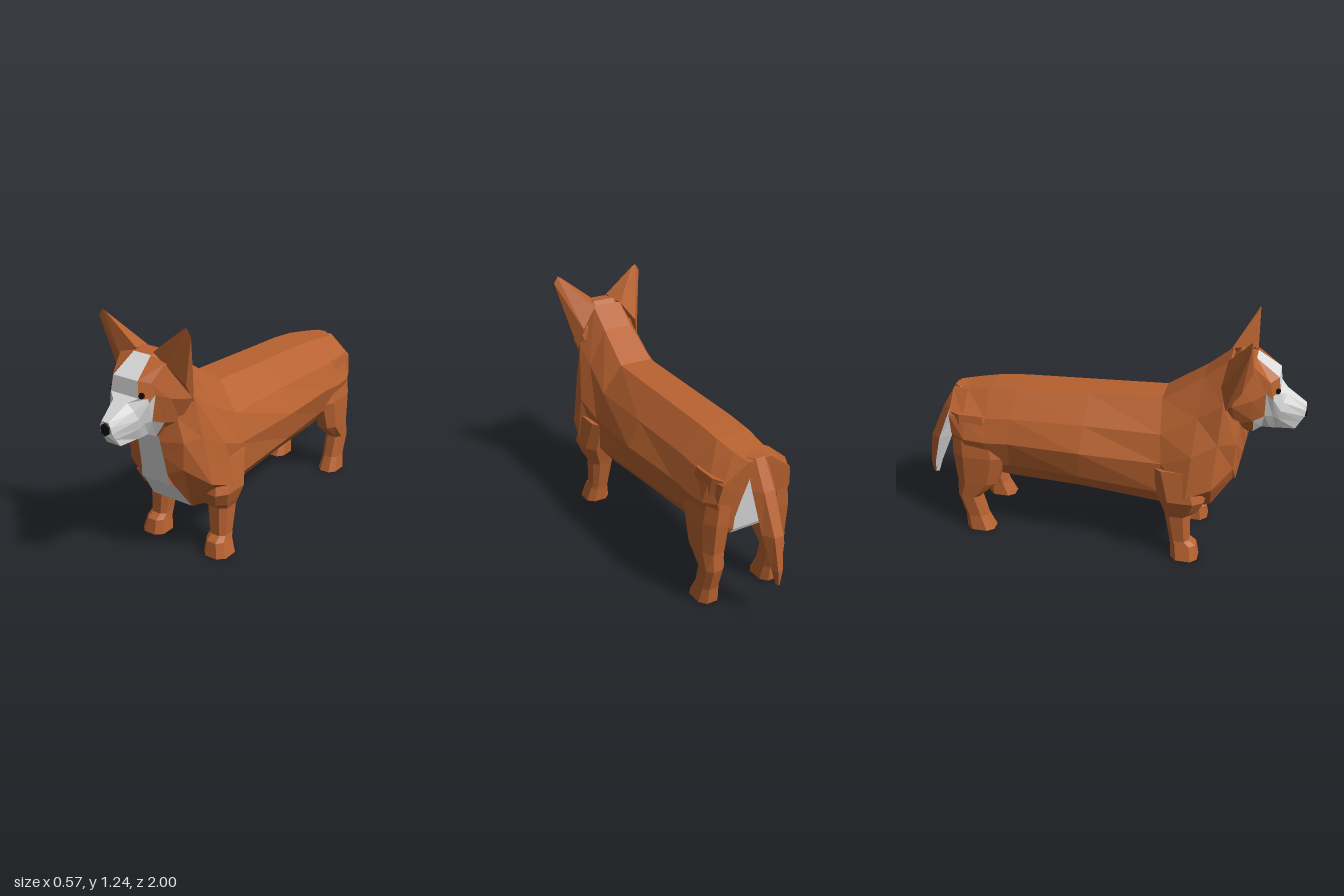
import * as THREE from 'three';
import { ConvexGeometry } from 'three/addons/geometries/ConvexGeometry.js';

const V = (x, y, z) => new THREE.Vector3(x, y, z);

// Skins a row of rings; colourOf(segment, column) picks a material index
// (segment -1 is the first cap, rings.length - 1 the last cap).
function loft(rings, colourOf = () => 0) {
  const buckets = [[], []];
  const n = rings[0].length, last = rings.length - 1;
  const tri = (m, ...pts) => buckets[m].push(...pts);
  for (let i = 0; i < last; i++) {
    for (let j = 0; j < n; j++) {
      const k = (j + 1) % n, m = colourOf(i, j);
      const a = rings[i][j], b = rings[i][k], c = rings[i + 1][k], d = rings[i + 1][j];
      tri(m, a, b, c);
      tri(m, a, c, d);
    }
  }
  for (let j = 1; j < n - 1; j++) {
    tri(colourOf(-1, j), rings[0][0], rings[0][j + 1], rings[0][j]);
    tri(colourOf(last, j), rings[last][0], rings[last][j], rings[last][j + 1]);
  }
  const geo = new THREE.BufferGeometry().setFromPoints(buckets.flat());
  let start = 0;
  buckets.forEach((b, m) => {
    if (b.length) geo.addGroup(start, b.length, m);
    start += b.length;
  });
  geo.computeVertexNormals();
  return geo;
}

// Closes a left-hand outline (top to bottom) into a symmetric ring.
const mirrorRing = half => [
  ...[...half].reverse(),
  ...half.map(p => V(-p.x, p.y, p.z)),
];
// Height of a column in such a ring: -1 underside, 0 lowest side, n - 1 top.
const level = (j, n) => (j < n ? j : 2 * n - 2 - j);

export function createModel() {
  const model = new THREE.Group();
  const material = (name, color) => {
    const m = new THREE.MeshStandardMaterial({ color, flatShading: true });
    m.name = name;
    return m;
  };
  const fur = material('rustFur', 0xb86230);
  const white = material('whiteFur', 0xdcdcdc);
  const black = material('black', 0x0c0c0c);
  const coat = [fur, white];
  const add = (name, geo, mat) => {
    const mesh = new THREE.Mesh(geo, mat);
    mesh.name = name;
    model.add(mesh);
    return mesh;
  };

  // Body and neck: [topY, topZ, bottomY, bottomZ, half widths from top to bottom]
  const steps = [0, 0.25, 0.5, 0.8, 1];
  const bodyRings = [
    [0.73, -0.81, 0.4, -0.765, [0.025, 0.05, 0.075, 0.1, 0.1]],
    [0.757, -0.81, 0.38, -0.755, [0.06, 0.185, 0.2, 0.18, 0.11]],
    [0.77, -0.72, 0.34, -0.69, [0.08, 0.2, 0.235, 0.2, 0.11]],
    [0.79, -0.6, 0.31, -0.58, [0.09, 0.195, 0.24, 0.2, 0.11]],
    [0.805, -0.45, 0.315, -0.48, [0.09, 0.195, 0.24, 0.2, 0.13]],
    [0.82, -0.07, 0.315, -0.1, [0.09, 0.2, 0.265, 0.235, 0.15]],
    [0.835, 0.3, 0.26, 0.35, [0.09, 0.195, 0.235, 0.225, 0.13]],
    [0.97, 0.5, 0.25, 0.45, [0.08, 0.18, 0.25, 0.28, 0.13]],
    [1.07, 0.62, 0.28, 0.57, [0.08, 0.18, 0.215, 0.25, 0.12]],
    [0.9, 0.69, 0.43, 0.67, [0.08, 0.14, 0.17, 0.16, 0.095]],
    [0.74, 0.74, 0.43, 0.685, [0.065, 0.065, 0.068, 0.075, 0.085]],
  ].map(([ty, tz, by, bz, widths]) => mirrorRing(widths.map((w, i) =>
    V(w, ty + (by - ty) * steps[i], tz + (bz - tz) * steps[i]))));
  add('body', loft(bodyRings, (i, j) =>
    (i < 0 || i === bodyRings.length - 1 || level(j, 5) < 0 ? 1 : 0)), coat);

  // Head, nape to muzzle tip: outline points from crown to jaw
  const headRings = [
    [[0.04, 0.97, 0.55], [0.1, 0.93, 0.55], [0.15, 0.86, 0.55], [0.12, 0.78, 0.55], [0.06, 0.73, 0.55]],
    [[0.06, 1.085, 0.66], [0.18, 0.99, 0.66], [0.195, 0.88, 0.65], [0.14, 0.76, 0.66], [0.07, 0.7, 0.68]],
    [[0.05, 1.08, 0.74], [0.13, 1.06, 0.74], [0.155, 0.9, 0.74], [0.12, 0.78, 0.75], [0.07, 0.7, 0.75]],
    [[0.07, 1.0, 0.855], [0.11, 0.985, 0.815], [0.12, 0.93, 0.8], [0.095, 0.8, 0.8], [0.06, 0.725, 0.79]],
    [[0.08, 0.925, 0.865], [0.108, 0.92, 0.835], [0.112, 0.9, 0.835], [0.085, 0.8, 0.84], [0.06, 0.725, 0.83]],
    [[0.04, 0.905, 0.895], [0.07, 0.87, 0.885], [0.085, 0.83, 0.875], [0.075, 0.78, 0.87], [0.055, 0.725, 0.86]],
    [[0.02, 0.842, 0.994], [0.03, 0.82, 0.994], [0.034, 0.79, 0.99], [0.036, 0.76, 0.972], [0.04, 0.722, 0.95]],
  ].map(pts => mirrorRing(pts.map(p => V(...p))));
  add('head', loft(headRings, (i, j) => {
    const l = level(j, 5);
    if (i < 2) return 0;
    if (i === 2) return l === 4 || l < 1 ? 1 : 0;
    if (i === 3) return l === 3 || l === 2 ? 0 : 1;
    return 1;
  }), coat);

  // Nose
  const nose = add('nose', new THREE.CylinderGeometry(0.025, 0.025, 0.009, 6), black);
  nose.rotation.x = Math.PI / 2;
  nose.scale.z = 1.25;
  nose.position.set(0, 0.807, 0.9955);

  // Leg rings, foot upwards: [y, centre x, half width, back z, front z]
  const legs = {
    frontLeg: [
      [0, 0.197, 0.067, 0.39, 0.53], [0.075, 0.19, 0.052, 0.385, 0.515],
      [0.1, 0.187, 0.048, 0.38, 0.48], [0.25, 0.18, 0.06, 0.35, 0.475],
      [0.29, 0.188, 0.07, 0.34, 0.52], [0.36, 0.205, 0.078, 0.32, 0.55],
      [0.52, 0.19, 0.068, 0.28, 0.5],
    ],
    hindLeg: [
      [0, 0.18, 0.056, -0.73, -0.58], [0.08, 0.178, 0.046, -0.735, -0.62],
      [0.2, 0.178, 0.05, -0.77, -0.65], [0.29, 0.175, 0.058, -0.765, -0.55],
      [0.45, 0.168, 0.068, -0.78, -0.5], [0.68, 0.15, 0.052, -0.785, -0.56],
    ],
  };
  const corners = [[1, -0.55], [0.5, -1], [-0.5, -1], [-1, -0.55], [-1, 0.55], [-0.5, 1], [0.5, 1], [1, 0.55]];

  for (const [side, label] of [[1, 'left'], [-1, 'right']]) {
    for (const [name, rows] of Object.entries(legs)) {
      const rings = rows.map(([y, cx, hx, z0, z1]) => corners.map(([u, v]) =>
        V(side * cx + u * hx, y, (z0 + z1) / 2 + v * (z1 - z0) / 2)));
      add(`${label} ${name}`, loft(rings), coat);
    }

    // Ear: broad flat front, tapering to a blunt tip
    add(`${label} ear`, new ConvexGeometry([
      [0.05, 1.09, 0.725], [0.2, 0.955, 0.69], [0.14, 1.04, 0.735],
      [0.24, 1.235, 0.725], [0.22, 1.225, 0.725], [0.262, 1.2, 0.725],
      [0.08, 1.065, 0.61], [0.16, 0.96, 0.59], [0.185, 0.85, 0.62],
    ].map(([x, y, z]) => V(side * x, y, z))), fur);

    // Eye
    const eye = add(`${label} eye`, new THREE.CylinderGeometry(0.014, 0.014, 0.009, 8), black);
    eye.rotation.set(Math.PI / 2, 0, -side * 0.78);
    eye.position.set(side * 0.088, 0.936, 0.854);
  }

  // Tail, base to tip, pale underneath: [y, back z, inner z, half width]
  const tailRings = [
    [0.765, -0.81, -0.74, 0.055], [0.63, -0.888, -0.8, 0.062], [0.44, -0.975, -0.868, 0.055],
    [0.27, -1, -0.94, 0.027], [0.195, -0.995, -0.965, 0.008],
  ].map(([y, zb, zf, w]) => {
    const zm = zb + 0.5 * (zf - zb);
    return [V(w, y, zm), V(0, y, zf), V(-w, y, zm), V(-w * 0.45, y, zb), V(w * 0.45, y, zb)];
  });
  add('tail', loft(tailRings, (i, j) => (i >= 0 && i < 4 && j < 2 ? 1 : 0)), coat);

  return model;
}
